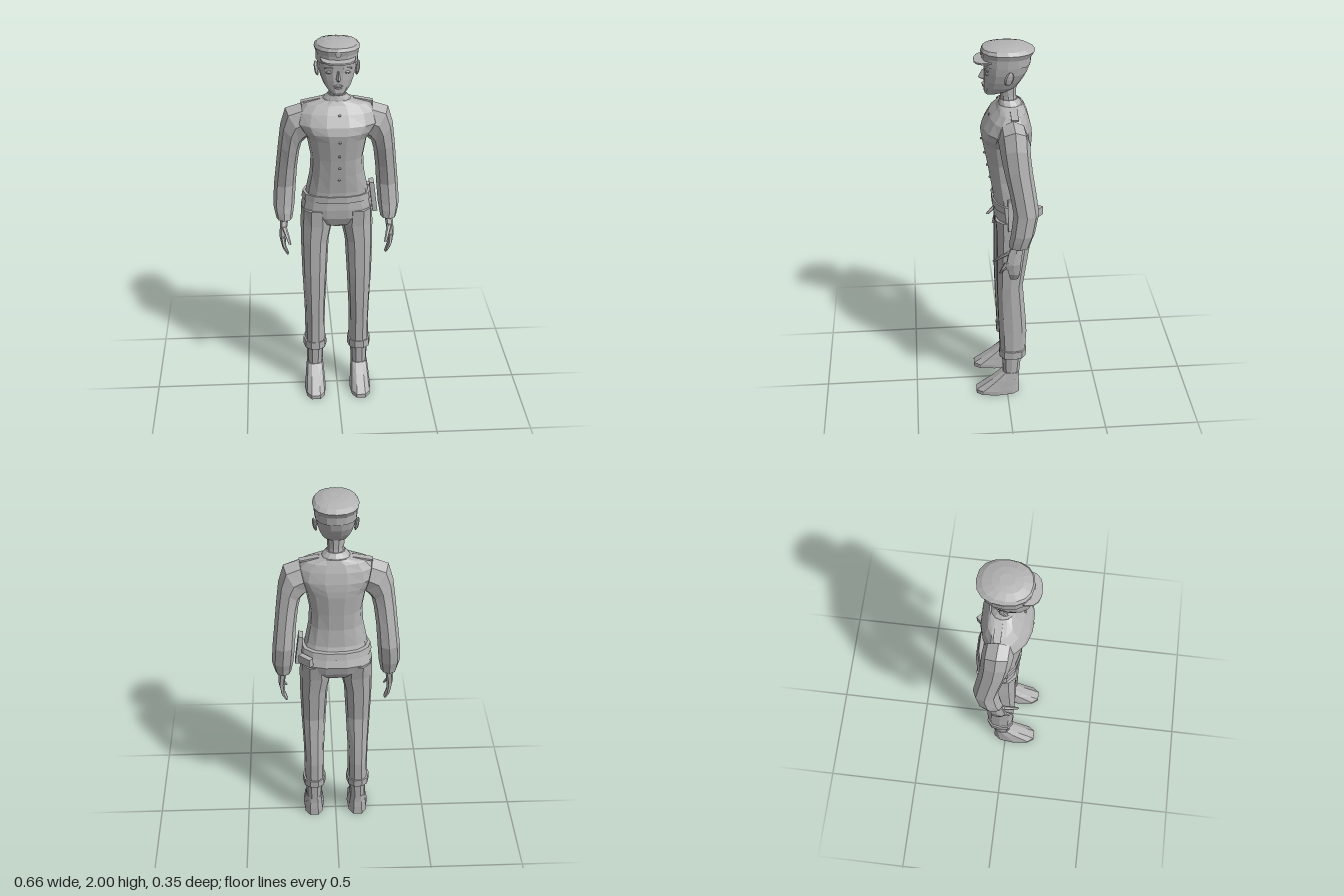
import * as THREE from 'three';

const grey = new THREE.MeshStandardMaterial({ color: 0xb3b3b3 });
grey.name = 'plain grey';

// Faceted normals for every part
function part(name, geometry, parent) {
  const g = geometry.index ? geometry.toNonIndexed() : geometry;
  g.computeVertexNormals();
  const m = new THREE.Mesh(g, grey);
  m.name = name;
  parent.add(m);
  return m;
}

// Ring of n points: c is the centre, u and v the half axes, p the squareness
function ring(c, u, v, n = 12, p = 2.3) {
  const f = (t) => Math.sign(t) * Math.abs(t) ** (2 / p);
  return Array.from({ length: n }, (_, i) => {
    const a = (i / n) * Math.PI * 2;
    const s = f(Math.cos(a)), t = f(Math.sin(a));
    return [c[0] + s * u[0], c[1] + s * u[1] + t * v[0], c[2] + t * v[1]];
  });
}

// Level ring from its height, x centre, half width and front and back z
const level = (y, x, hw, zf, zb, n, p) =>
  ring([x, y, (zf + zb) / 2], [hw, 0], [0, (zf - zb) / 2], n, p);

// Capped skin over a row of rings; winding is set from the enclosed volume
function loft(rings) {
  const n = rings[0].length, tris = [];
  for (let r = 0; r < rings.length - 1; r++) {
    for (let i = 0; i < n; i++) {
      const j = (i + 1) % n, a = rings[r], b = rings[r + 1];
      tris.push([a[i], b[i], b[j]], [a[i], b[j], a[j]]);
    }
  }
  const first = rings[0], last = rings[rings.length - 1];
  for (let i = 1; i < n - 1; i++) {
    tris.push([first[0], first[i], first[i + 1]], [last[0], last[i + 1], last[i]]);
  }
  let volume = 0;
  const [o, q, w] = [0, 1, 2].map(() => new THREE.Vector3());
  for (const t of tris) volume += o.fromArray(t[0]).dot(q.fromArray(t[1]).cross(w.fromArray(t[2])));
  if (volume < 0) tris.forEach((t) => t.reverse());
  const g = new THREE.BufferGeometry();
  g.setAttribute('position', new THREE.Float32BufferAttribute(tris.flat(2), 3));
  return g;
}

const stack = (rows, n, p) => loft(rows.map(([y, hw, zf, zb]) => level(y, 0, hw, zf, zb, n, p)));
const limb = (rows, n, p) => loft(rows.map(([y, inner, outer, zf, zb]) =>
  level(y, (inner + outer) / 2, (outer - inner) / 2, zf, zb, n, p)));

function box(name, size, pos, rot, parent) {
  const m = part(name, new THREE.BoxGeometry(...size), parent);
  m.position.set(...pos);
  m.rotation.set(...rot);
  return m;
}

function blob(name, size, pos, parent) {
  const m = part(name, new THREE.SphereGeometry(1, 8, 6), parent);
  m.scale.set(...size);
  m.position.set(...pos);
  return m;
}

function buildBody(g) {
  part('jacket', stack([
    [1.16, 0.165, 0.065, -0.135], [1.2, 0.16, 0.066, -0.12], [1.3, 0.14, 0.083, -0.115],
    [1.39, 0.135, 0.098, -0.122], [1.5, 0.155, 0.12, -0.134], [1.535, 0.18, 0.126, -0.134],
    [1.575, 0.208, 0.114, -0.13], [1.63, 0.195, 0.08, -0.115], [1.667, 0.16, 0.045, -0.1],
    [1.69, 0.075, 0.032, -0.09]], 14), g);
  part('collar', stack([[1.67, 0.085, 0.036, -0.092], [1.695, 0.068, 0.033, -0.08],
    [1.715, 0.047, 0.028, -0.063]], 12), g);
  part('neck', stack([[1.69, 0.046, 0.028, -0.062], [1.73, 0.041, 0.026, -0.056],
    [1.8, 0.045, 0.04, -0.058]], 10, 2), g);
  part('belt', stack([[1.143, 0.184, 0.073, -0.158], [1.178, 0.178, 0.073, -0.15]], 14), g);
  part('hips', stack([[1.17, 0.17, 0.062, -0.14], [1.1, 0.187, 0.065, -0.166],
    [1.05, 0.187, 0.06, -0.15], [1.005, 0.12, 0.04, -0.115], [0.985, 0.04, 0.01, -0.08]], 14, 2.5), g);

  // Buttons down the front
  for (const [y, z] of [[1.63, 0.08], [1.5, 0.121], [1.42, 0.106], [1.35, 0.093], [1.28, 0.08]]) {
    blob('button', [0.007, 0.007, 0.006], [0.008, y, z], g);
  }

  // Gear on the left hip
  box('holster', [0.025, 0.165, 0.06], [0.19, 1.145, -0.03], [0, 0, 0.12], g);
  box('beltPouch', [0.075, 0.045, 0.028], [0.157, 1.143, -0.147], [0, -0.75, 0], g);
}

function buildHead(g) {
  part('head', stack([
    [1.742, 0.026, 0.098, 0.04], [1.757, 0.045, 0.106, -0.02], [1.785, 0.068, 0.105, -0.06],
    [1.82, 0.083, 0.106, -0.085], [1.86, 0.095, 0.105, -0.108], [1.9, 0.1, 0.108, -0.121],
    [1.93, 0.1, 0.108, -0.125]], 14), g);
  // Nose from three small triangles of section
  const nose = [[1.868, 0.007, 0.112], [1.827, 0.014, 0.133], [1.815, 0.012, 0.112]];
  part('nose', loft(nose.map(([y, w, z]) => [[-w, y, 0.095], [0, y, z], [w, y, 0.095]])), g);
  blob('upperLip', [0.024, 0.006, 0.012], [0, 1.793, 0.104], g);
  blob('lowerLip', [0.019, 0.006, 0.012], [0, 1.782, 0.102], g);
  for (const s of [-1, 1]) {
    blob('eye', [0.018, 0.008, 0.01], [s * 0.043, 1.86, 0.091], g);
    box('eyebrow', [0.042, 0.007, 0.012], [s * 0.045, 1.882, 0.093], [0, s * 0.35, s * -0.1], g);
    const ear = blob('ear', [0.011, 0.038, 0.023], [s * 0.102, 1.85, -0.012], g);
    ear.rotation.set(-0.2, s * 0.25, s * -0.15);
  }

  part('capBand', stack([[1.9, 0.104, 0.112, -0.126], [1.947, 0.106, 0.114, -0.13]], 16), g);
  part('capCrown', stack([[1.94, 0.105, 0.113, -0.13], [1.967, 0.114, 0.12, -0.147],
    [1.983, 0.1, 0.112, -0.12], [1.995, 0.065, 0.07, -0.075], [2, 0.03, 0.03, -0.04]], 16), g);
  const visor = (y) => ring([0, y, 0.085], [0.086, 0], [-0.009, 0.07], 14);
  part('capVisor', loft([visor(1.922), visor(1.93)]), g);
  const badge = part('capBadge', new THREE.CylinderGeometry(0.014, 0.014, 0.008, 8), g);
  badge.position.set(0, 1.955, 0.117);
  badge.rotation.x = Math.PI / 2;
}

// Limbs on the +x side
function buildSide(g) {
  const arm = [
    [0.16, 1.575, -0.025, 0.02, 0.09, 0.075], [0.208, 1.555, -0.03, 0.052, 0.083, 0.077],
    [0.232, 1.5, -0.035, 0.054, 0.05, 0.073], [0.245, 1.42, -0.047, 0.055, 0.015, 0.07],
    [0.258, 1.31, -0.068, 0.055, 0, 0.066], [0.268, 1.2, -0.085, 0.057, 0, 0.064],
    [0.276, 1.09, -0.068, 0.056, 0, 0.06], [0.276, 1.055, -0.058, 0.05, 0, 0.057],
    [0.275, 1.015, -0.05, 0.042, 0, 0.053]];
  part('sleeve', loft(arm.map(([x, y, z, ux, uy, rz]) => ring([x, y, z], [ux, uy], [0, rz], 8, 2))), g);
  box('epaulette', [0.1, 0.008, 0.036], [0.132, 1.676, -0.035], [0, 0, -0.2], g);

  // Hand: palm, fingers and thumb
  const tube = (rows) => loft(rows.map(([x, y, z, w, d]) => ring([x, y, z], [w, 0], [0, d], 6, 2)));
  part('palm', tube([[0.274, 1.03, -0.045, 0.022, 0.03], [0.28, 0.98, -0.03, 0.02, 0.04],
    [0.287, 0.92, -0.02, 0.017, 0.042], [0.284, 0.885, -0.02, 0.013, 0.04]]), g);
  part('fingers', tube([[0.285, 0.9, -0.024, 0.013, 0.036], [0.28, 0.855, -0.025, 0.011, 0.033],
    [0.262, 0.815, -0.025, 0.007, 0.022]]), g);
  part('indexFinger', tube([[0.286, 0.93, 0.008, 0.011, 0.018], [0.28, 0.89, 0.03, 0.01, 0.013],
    [0.262, 0.855, 0.045, 0.006, 0.008]]), g);
  part('thumb', tube([[0.278, 0.985, -0.005, 0.013, 0.02], [0.265, 0.955, 0.035, 0.011, 0.016],
    [0.25, 0.92, 0.077, 0.007, 0.009]]), g);

  part('trouserLeg', limb([
    [1.09, 0.03, 0.187, 0.062, -0.155], [1, 0.022, 0.19, 0.055, -0.132], [0.9, 0.043, 0.19, 0.055, -0.115],
    [0.7, 0.054, 0.185, 0.055, -0.085], [0.5, 0.064, 0.176, 0.05, -0.102],
    [0.4, 0.066, 0.174, 0.045, -0.108], [0.27, 0.066, 0.174, 0.04, -0.1]], 10), g);
  part('trouserCuff', limb([[0.285, 0.058, 0.184, 0.045, -0.108],
    [0.24, 0.058, 0.184, 0.044, -0.104]], 10), g);
  part('ankle', limb([[0.25, 0.073, 0.168, 0.03, -0.08], [0.12, 0.08, 0.165, 0.022, -0.068]], 10), g);
  part('shoe', limb([[0, 0.067, 0.182, 0.175, -0.07], [0.022, 0.067, 0.182, 0.175, -0.07],
    [0.05, 0.07, 0.178, 0.135, -0.07], [0.09, 0.073, 0.174, 0.08, -0.067],
    [0.135, 0.078, 0.168, 0.025, -0.068]], 10, 2.6), g);
}

// Reflects every part of a side across x = 0, keeping faces outward
function mirrored(side) {
  const out = new THREE.Group();
  side.children.forEach((m) => {
    m.updateMatrix();
    const g = m.geometry.clone().applyMatrix4(m.matrix).scale(-1, 1, 1);
    const p = g.attributes.position;
    for (let i = 0; i < p.count; i += 3) {
      const a = [p.getX(i), p.getY(i), p.getZ(i)];
      p.setXYZ(i, p.getX(i + 1), p.getY(i + 1), p.getZ(i + 1));
      p.setXYZ(i + 1, ...a);
    }
    part(m.name, g, out);
  });
  return out;
}

export function createModel() {
  const model = new THREE.Group();
  model.name = 'uniformedFigure';
  const body = new THREE.Group(), head = new THREE.Group(), left = new THREE.Group();
  buildBody(body);
  buildHead(head);
  buildSide(left);
  const right = mirrored(left);
  body.name = 'body';
  head.name = 'headAndCap';
  left.name = 'leftLimbs';
  right.name = 'rightLimbs';
  model.add(body, head, left, right);
  return model;
}
